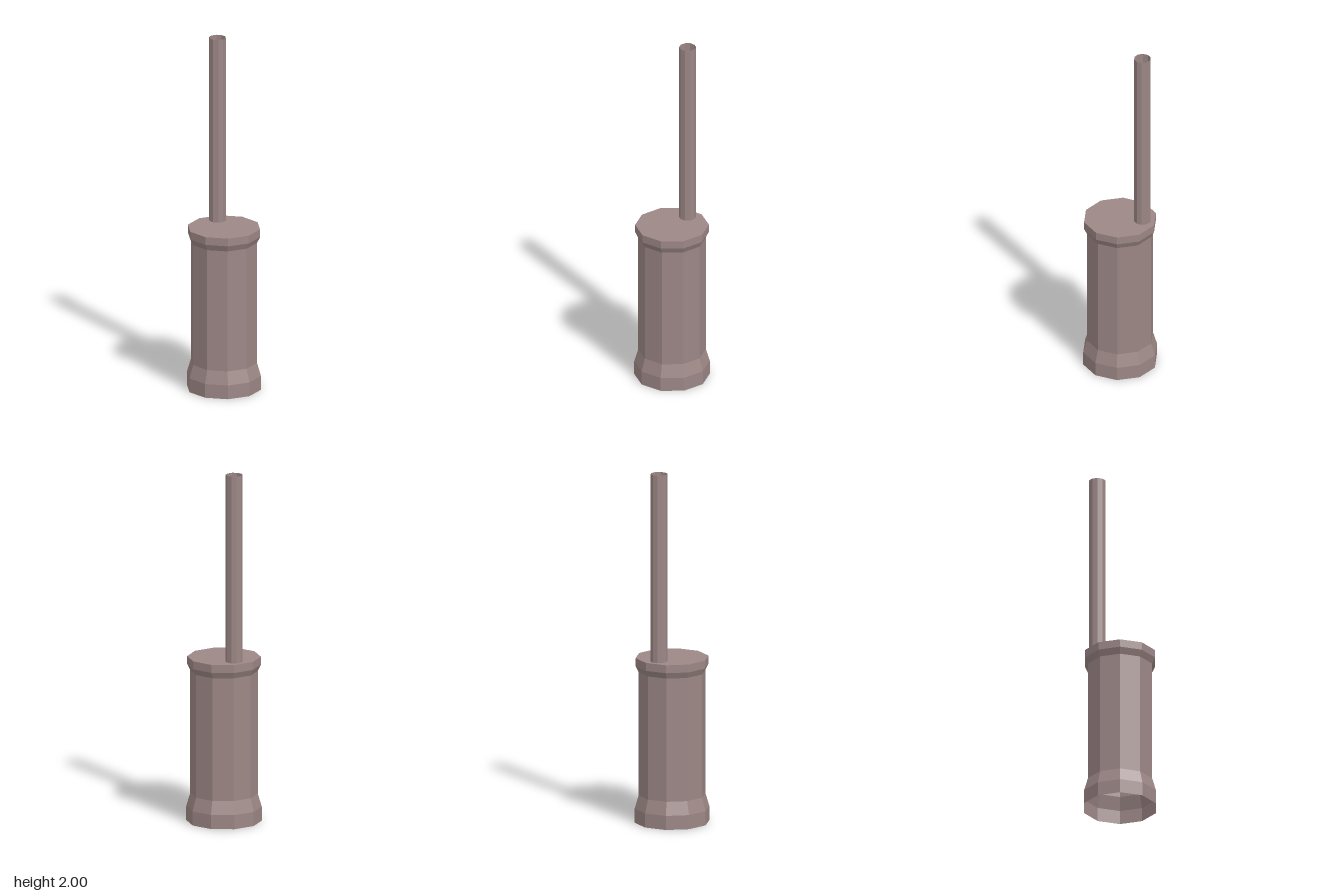
import * as THREE from 'three';

const SIDES = 10;
const PIPE = { x: -0.092, z: -0.087, r: 0.047 };
const CAP_Y = 0.935, CAP_R = 0.204;

// Regular polygon with a corner on the shape's y axis
function ring(r, cx = 0, cy = 0) {
  return Array.from({ length: SIDES }, (_, i) => {
    const a = (i / SIDES) * Math.PI * 2;
    return new THREE.Vector2(cx + r * Math.sin(a), cy + r * Math.cos(a));
  });
}

export function createModel() {
  const group = new THREE.Group();
  group.name = 'canisterWithPipe';

  const material = new THREE.MeshStandardMaterial({ color: 0x9c8786, flatShading: true, side: THREE.DoubleSide });
  material.name = 'dustyMauve';

  const add = (name, geometry) => {
    const mesh = new THREE.Mesh(geometry, material);
    mesh.name = name;
    group.add(mesh);
    return mesh;
  };

  // Hollow body, open below, with a flared foot and rim
  const profile = [
    [0.209, 0], [0.209, 0.08], [0.187, 0.155],
    [0.187, 0.855], [CAP_R, 0.89], [CAP_R, CAP_Y],
  ].map(([r, y]) => new THREE.Vector2(r, y));
  add('body', new THREE.LatheGeometry(profile, SIDES));

  // Flat lid with an opening for the pipe
  const lid = new THREE.Shape(ring(CAP_R));
  lid.holes.push(new THREE.Path(ring(PIPE.r, PIPE.x, -PIPE.z)));
  add('lid', new THREE.ShapeGeometry(lid).rotateX(-Math.PI / 2)).position.y = CAP_Y;

  // Tall open pipe rising from the lid
  const height = 2 - CAP_Y;
  add('pipe', new THREE.CylinderGeometry(PIPE.r, PIPE.r, height, SIDES, 1, true))
    .position.set(PIPE.x, CAP_Y + height / 2, PIPE.z);

  return group;
}
